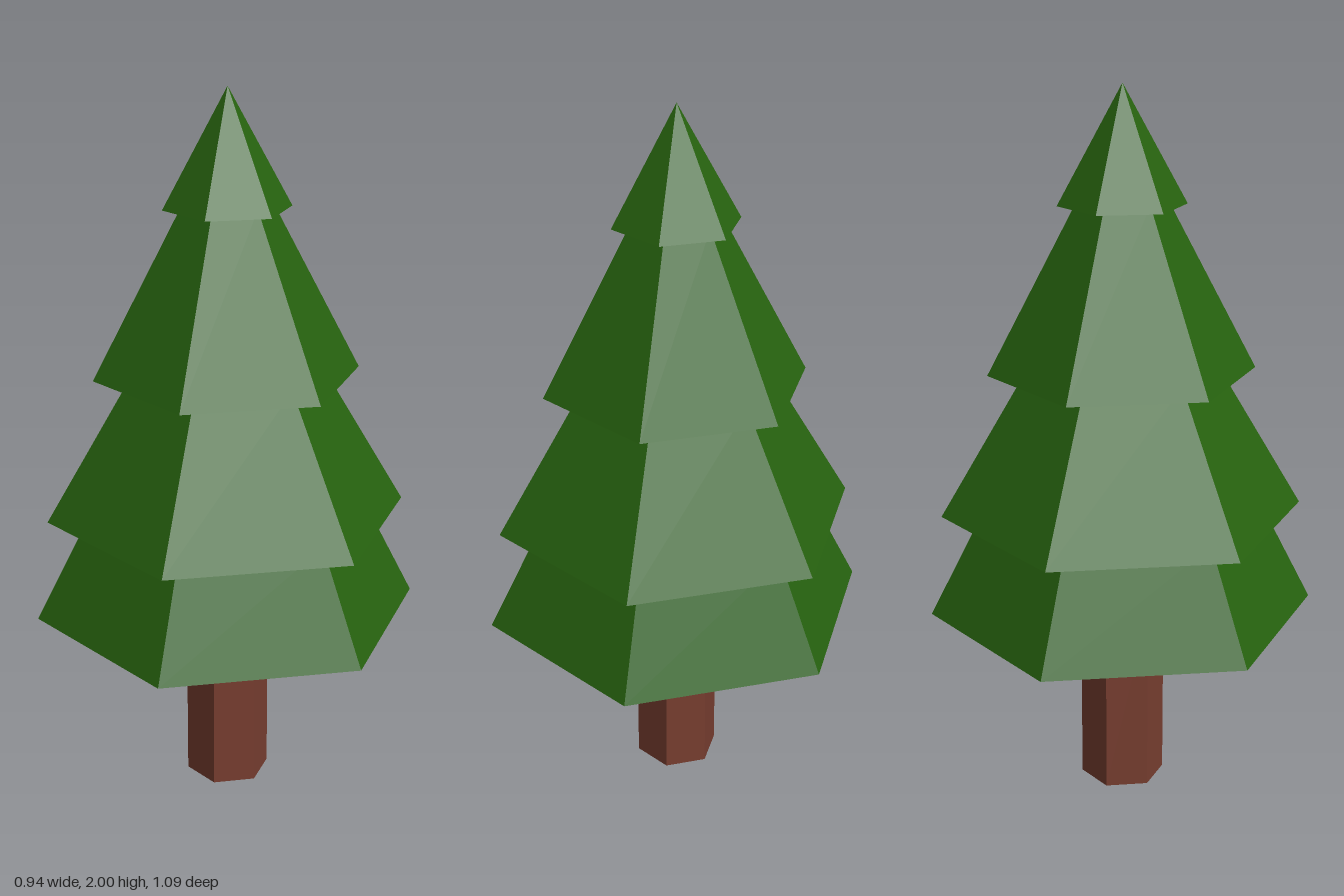
import * as THREE from 'three';

const SIDES = 6;

export function createModel() {
  const tree = new THREE.Group();
  tree.name = 'pineTree';

  const needles = new THREE.MeshStandardMaterial({ color: 0x27630f, flatShading: true });
  needles.name = 'needleGreen';
  const bark = new THREE.MeshStandardMaterial({ color: 0x783e30, flatShading: true });
  bark.name = 'barkBrown';

  // Six-sided frustum with one corner pointing to the front
  function addFrustum(name, material, y0, y1, r0, r1) {
    const geometry = r1 > 0
      ? new THREE.CylinderGeometry(r1, r0, y1 - y0, SIDES)
      : new THREE.ConeGeometry(r0, y1 - y0, SIDES);
    const mesh = new THREE.Mesh(geometry, material);
    mesh.name = name;
    mesh.position.y = (y0 + y1) / 2;
    tree.add(mesh);
  }

  // Trunk, reaching slightly into the foliage
  addFrustum('trunk', bark, 0, 0.54, 0.119, 0.119);

  // Foliage tiers: bottom y, top y, bottom radius, top radius
  const tiers = [
    ['lowestBranches', 0.525, 0.83, 0.545, 0.39],
    ['lowerBranches', 0.817, 1.235, 0.508, 0.262],
    ['upperBranches', 1.22, 1.695, 0.371, 0.121],
    ['treeTop', 1.68, 2, 0.176, 0],
  ];
  for (const [name, y0, y1, r0, r1] of tiers) addFrustum(name, needles, y0, y1, r0, r1);

  return tree;
}
